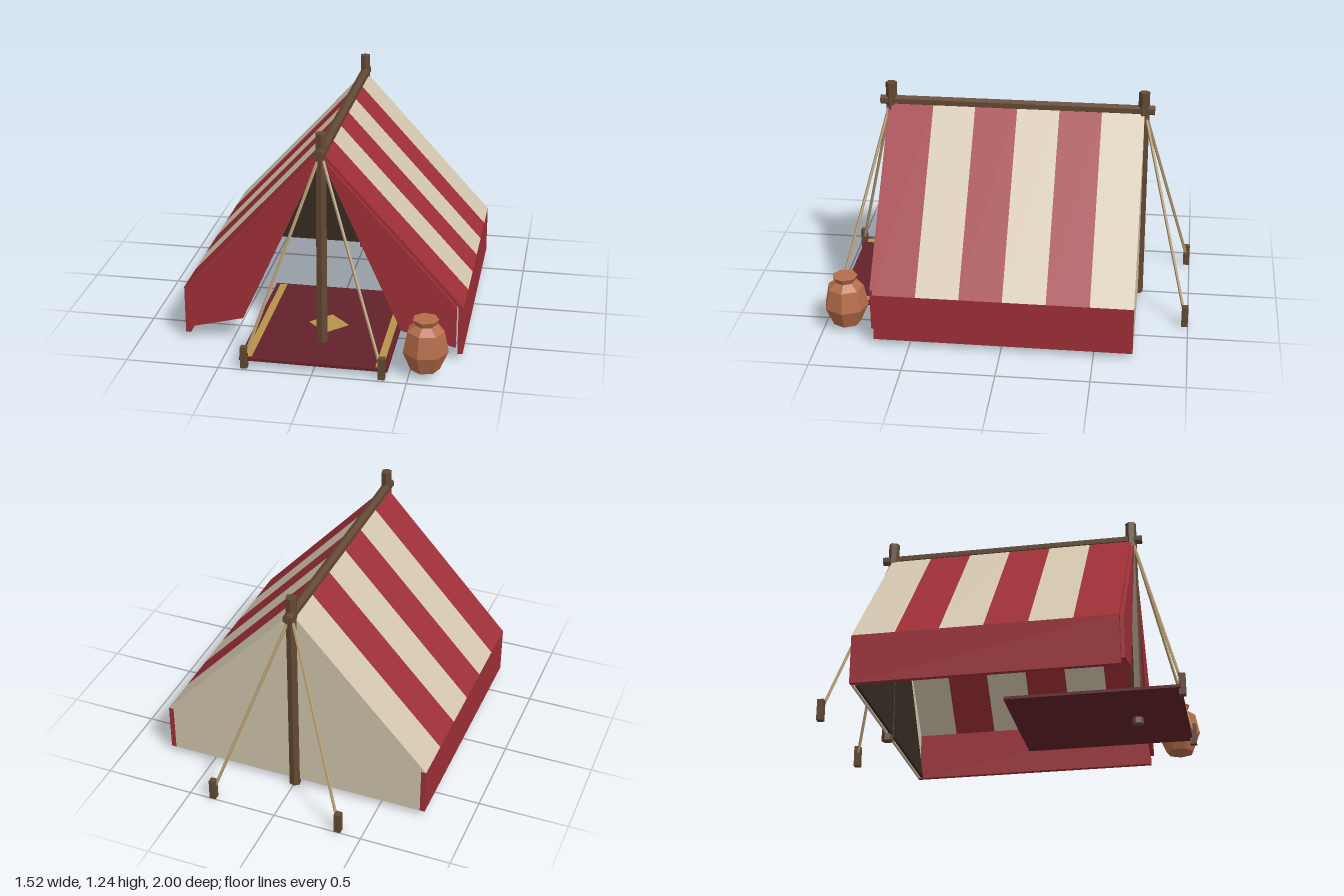
import * as THREE from 'three';

const COLORS = {
  red: 0x9e2f37, cream: 0xd3c6ae, wood: 0x634833, dark: 0x352a22,
  rug: 0x64222a, gold: 0xb8924a, rope: 0xb89f76, clay: 0xb56d4b,
};
const materials = {};
for (const key in COLORS) {
  materials[key] = new THREE.MeshStandardMaterial({ color: COLORS[key], flatShading: true });
}

export function createModel() {
  const group = new THREE.Group();

  function add(name, geometry, color, x = 0, y = 0, z = 0) {
    const mesh = new THREE.Mesh(geometry, materials[color]);
    mesh.name = name;
    mesh.position.set(x, y, z);
    group.add(mesh);
    return mesh;
  }

  // Flat outline in x/y, extruded from z0 to z1
  function panel(name, points, z0, z1, color) {
    const shape = new THREE.Shape(points.map(([x, y]) => new THREE.Vector2(x, y)));
    const geometry = new THREE.ExtrudeGeometry(shape, { depth: z1 - z0, bevelEnabled: false });
    return add(name, geometry, color, 0, 0, z0);
  }

  // Thin round bar between two points
  function bar(name, from, to, radius, sides, color) {
    const a = new THREE.Vector3(...from), b = new THREE.Vector3(...to);
    const dir = b.clone().sub(a);
    const mesh = add(name, new THREE.CylinderGeometry(radius, radius, dir.length(), sides), color);
    mesh.position.copy(a).add(b).multiplyScalar(0.5);
    mesh.quaternion.setFromUnitVectors(new THREE.Vector3(0, 1, 0), dir.normalize());
    return mesh;
  }

  const front = 0.692, back = -0.71, apex = 1.135;
  const eaveX = 0.758, eaveY = 0.305, hem = 0.035, stripes = 6;
  const stripe = (front - back) / stripes;

  for (const s of [-1, 1]) {
    // Striped roof slope, red stripe at the front
    const slope = [[0, apex], [s * eaveX, eaveY], [s * 0.73, eaveY], [0, apex - 0.032]];
    for (let i = 0; i < stripes; i++) {
      const z1 = front - i * stripe;
      panel('roofStripe', slope, z1 - stripe, z1, i % 2 ? 'cream' : 'red');
    }

    // Low side wall
    add('sideWall', new THREE.BoxGeometry(0.028, eaveY - hem, front - back), 'red',
      s * 0.744, (eaveY + hem) / 2, (front + back) / 2);

    // Pulled-back door flap
    panel('doorFlap', [[0, 1.11], [s * 0.43, 0.155], [s * 0.722, 0.08], [s * 0.722, 0.315]],
      front, 0.712, 'red');

    // Gold rug border
    add('rugBorder', new THREE.BoxGeometry(0.04, 0.006, 0.9), 'gold', s * 0.35, 0.052, 0.495);

    // Guy ropes and pegs at both ends
    for (const [poleZ, pegZ] of [[0.7, 0.968], [-0.71, -0.982]]) {
      bar('guyRope', [0, 1.13, poleZ], [s * 0.362, 0.06, pegZ], 0.009, 5, 'rope');
      add('peg', new THREE.BoxGeometry(0.036, 0.12, 0.036), 'wood', s * 0.366, 0.06, pegZ);
    }
  }

  // Back wall with a dark lining inside
  panel('backWall', [[-0.73, hem], [0.73, hem], [0.73, eaveY], [0, apex - 0.02], [-0.73, eaveY]],
    back, back + 0.015, 'cream');
  panel('innerLining', [[-0.715, hem], [0.715, hem], [0, 1.065]], back + 0.02, back + 0.035, 'dark');

  // Upright poles and ridge pole
  for (const z of [0.695, -0.705]) {
    add('uprightPole', new THREE.CylinderGeometry(0.031, 0.033, 1.235, 6), 'wood', 0, 0.6175, z)
      .rotation.y = 0.2;
  }
  bar('ridgePole', [0, 1.13, -0.766], [0, 1.13, 0.756], 0.028, 6, 'wood');

  // Rug with a diamond in the middle
  add('rug', new THREE.BoxGeometry(0.79, 0.016, 0.935), 'rug', 0, 0.043, 0.495);
  add('rugDiamond', new THREE.CylinderGeometry(0.11, 0.11, 0.006, 4), 'gold', 0, 0.052, 0.495);

  // Clay jar
  const profile = [[0, 0.035], [0.078, 0.035], [0.123, 0.14], [0.1, 0.255],
    [0.055, 0.288], [0.07, 0.32], [0, 0.32]].map(([r, y]) => new THREE.Vector2(r, y));
  add('jar', new THREE.LatheGeometry(profile, 7, Math.PI / 2), 'clay', 0.58, 0, 0.876);

  return group;
}
